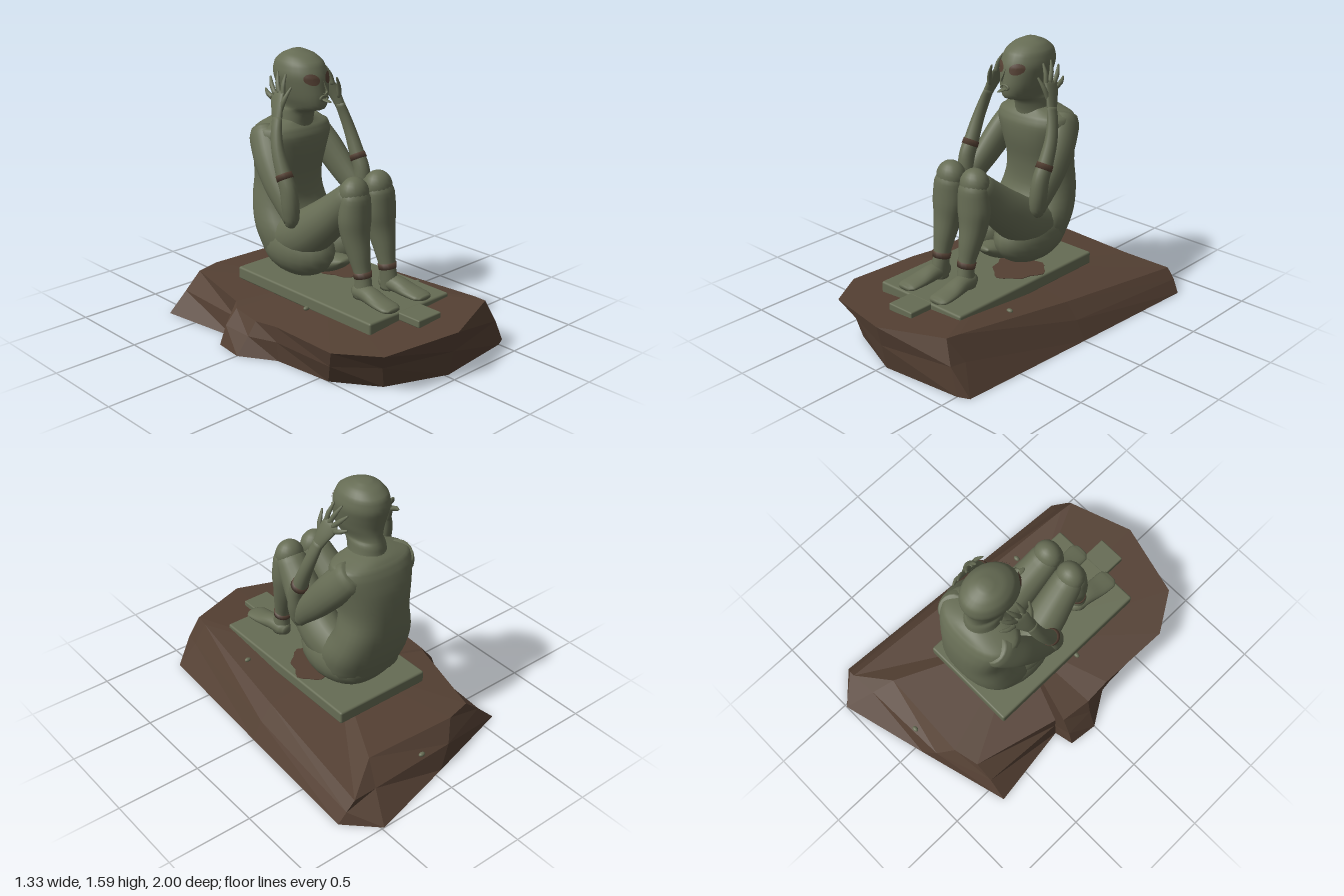
import * as THREE from 'three';
import { RoundedBoxGeometry } from 'three/addons/geometries/RoundedBoxGeometry.js';

const skin = new THREE.MeshStandardMaterial({ color: 0x666c54 });
skin.name = 'mossGreen';
const earth = new THREE.MeshStandardMaterial({ color: 0x544033 });
earth.name = 'earthBrown';

function add(parent, name, geometry, material, x = 0, y = 0, z = 0) {
  const mesh = new THREE.Mesh(geometry, material);
  mesh.name = name;
  mesh.position.set(x, y, z);
  parent.add(mesh);
  return mesh;
}

// Closed smooth skin through elliptical rings [x, y, z, sideRadius, depthRadius].
function loft(rings, { level = false, sides = 18, steps = 4, power = 1 } = {}) {
  const path = new THREE.CatmullRomCurve3(rings.map(r => new THREE.Vector3(r[0], r[1], r[2])));
  const size = new THREE.CatmullRomCurve3(rings.map(r => new THREE.Vector3(r[3], r[4], 0)));
  const n = (rings.length - 1) * steps, pos = [], idx = [];
  const curved = v => Math.sign(v) * Math.abs(v) ** power;
  for (let i = 0; i <= n; i++) {
    const c = path.getPoint(i / n), r = size.getPoint(i / n);
    const t = level ? new THREE.Vector3(0, 1, 0) : path.getTangent(i / n);
    const side = new THREE.Vector3(1, 0, 0).addScaledVector(t, -t.x).normalize();
    const up = new THREE.Vector3().crossVectors(t, side);
    for (let j = 0; j < sides; j++) {
      const a = j / sides * Math.PI * 2;
      const p = c.clone().addScaledVector(side, curved(Math.cos(a)) * r.x)
        .addScaledVector(up, curved(Math.sin(a)) * r.y);
      pos.push(p.x, p.y, p.z);
      if (i < n) {
        const k = i * sides + j, l = i * sides + (j + 1) % sides;
        idx.push(k, l, k + sides, l, l + sides, k + sides);
      }
    }
  }
  const first = rings[0], last = rings[rings.length - 1], base = (n + 1) * sides;
  pos.push(first[0], first[1], first[2], last[0], last[1], last[2]);
  for (let j = 0; j < sides; j++) {
    const k = (j + 1) % sides;
    idx.push(base, k, j, base + 1, n * sides + j, n * sides + k);
  }
  const g = new THREE.BufferGeometry();
  g.setAttribute('position', new THREE.Float32BufferAttribute(pos, 3));
  g.setIndex(idx);
  g.computeVertexNormals();
  return g;
}

function ball(rx, ry, rz) {
  return new THREE.SphereGeometry(1, 20, 14).scale(rx, ry, rz);
}

// Faceted rock: each entry is a top corner followed by its foot [x, z].
function rockGeometry() {
  const corners = [
    [.02, .27, 1, .02, .94], [.4, .29, .86, .5, .89], [.41, .285, .78, .565, .86],
    [.485, .2, 0, .615, 0], [.565, .13, -.85, .66, -.83], [.35, .21, -.71, .485, -1],
    [-.22, .21, -.74, -.05, -.86], [-.375, .21, -.705, -.6, -.71], [-.51, .22, -.19, -.53, -.2],
    [-.54, .2, -.15, -.645, -.175], [-.56, .19, .04, -.665, 0], [-.555, .21, .2, -.54, .2],
    [-.57, .22, .65, -.5, .56], [-.42, .235, .89, -.33, .8],
  ];
  const n = corners.length, pos = [], idx = [];
  corners.forEach(c => pos.push(c[3], 0, c[4]));
  corners.forEach((c, i) => {
    const s = 1 + .025 * Math.sin(i * 2.3);
    pos.push((c[0] + c[3]) / 2 * s, c[1] * .55, (c[2] + c[4]) / 2 * s);
  });
  corners.forEach(c => pos.push(c[0], c[1], c[2]));
  pos.push(0, 0, 0, 0, .26, 0);
  for (let j = 0; j < n; j++) {
    const k = (j + 1) % n;
    for (const o of [0, n]) idx.push(o + j, o + k, o + j + n, o + k, o + k + n, o + j + n);
    idx.push(3 * n, k, j, 3 * n + 1, 2 * n + j, 2 * n + k);
  }
  const g = new THREE.BufferGeometry();
  g.setAttribute('position', new THREE.Float32BufferAttribute(pos, 3));
  g.setIndex(idx);
  const flat = g.toNonIndexed();
  flat.computeVertexNormals();
  return flat;
}

// Head and neck rings: [height, front z, back z, half width]
const headRings = [
  [1.13, -.15, -.4, .12], [1.19, -.14, -.372, .1], [1.245, -.115, -.362, .092], [1.275, -.025, -.355, .088],
  [1.33, -.012, -.352, .109], [1.4, -.02, -.367, .127], [1.455, -.03, -.38, .136],
  [1.52, -.06, -.368, .122], [1.56, -.12, -.32, .088], [1.585, -.2, -.26, .035],
];

// Thin patch that follows the curve of the face.
function eyePatch(s) {
  const g = new THREE.RingGeometry(0, 1, 20, 4), p = g.attributes.position;
  for (let i = 0; i < p.count; i++) {
    const u = p.getX(i), v = p.getY(i);
    const x = s * .058 + u * .038, y = 1.446 + v * .031 + s * u * .004;
    const k = headRings.findIndex(r => r[0] > y), a = headRings[k - 1], b = headRings[k];
    const t = (y - a[0]) / (b[0] - a[0]);
    const [, front, back, w] = a.map((q, m) => q + (b[m] - q) * t);
    const z = (front + back) / 2 + (front - back) / 2 * Math.sqrt(1 - (x / w) ** 2);
    p.setXYZ(i, x, y, z + .007);
  }
  g.computeVertexNormals();
  return g;
}

function buildArm(s) {
  const arm = new THREE.Group();
  arm.name = s > 0 ? 'leftArm' : 'rightArm';
  const tube = (name, rings, mat = skin, opts) =>
    add(arm, name, loft(rings.map(r => [s * r[0], ...r.slice(1)]), opts), mat);
  tube('upperArm', [[.165, 1.135, -.34, .065, .075], [.182, 1.09, -.31, .076, .1], [.22, .99, -.23, .075, .098],
    [.248, .87, -.13, .066, .087], [.263, .76, -.03, .05, .07], [.268, .69, .01, .035, .045]]);
  tube('forearm', [[.268, .665, .0, .025, .03], [.27, .71, .015, .042, .045], [.277, .79, .015, .048, .052],
    [.281, .88, .002, .045, .05], [.281, .96, -.035, .042, .045], [.276, 1.08, -.085, .034, .038],
    [.257, 1.18, -.118, .027, .036], [.235, 1.25, -.135, .022, .035]]);
  tube('armBand', [[.281, .93, -.019, .047, .051], [.281, .96, -.035, .045, .049]], earth, { steps: 1 });
  tube('palm', [[.24, 1.23, -.13, .021, .034], [.218, 1.3, -.155, .018, .047], [.192, 1.36, -.18, .014, .056],
    [.184, 1.38, -.185, .008, .048]]);
  // Four fingers and a thumb fanned beside the head
  const fingers = [
    [.22, 1.29, -.125, .172, 1.415, -.09], [.188, 1.365, -.14, .148, 1.475, -.16],
    [.188, 1.37, -.17, .148, 1.48, -.225], [.19, 1.36, -.2, .155, 1.445, -.28],
    [.195, 1.34, -.22, .175, 1.375, -.3],
  ];
  for (const [x, y, z, u, v, w] of fingers) {
    tube('finger', [[x, y, z, .013, .015], [(x + u) / 2 + .008, (y + v) / 2, (z + w) / 2, .012, .014],
      [u, v, w, .005, .006]], skin, { sides: 8 });
  }
  return arm;
}

function buildLeg(s) {
  const leg = new THREE.Group();
  leg.name = s > 0 ? 'leftLeg' : 'rightLeg';
  const tube = (name, rings, mat = skin, opts) =>
    add(leg, name, loft(rings.map(r => [s * r[0], ...r.slice(1)]), opts), mat);
  tube('thigh', [[.13, .49, -.24, .1, .12], [.13, .56, -.05, .122, .14], [.118, .67, .1, .115, .125],
    [.102, .78, .22, .101, .105], [.092, .87, .305, .09, .088], [.09, .925, .34, .06, .055]]);
  add(leg, 'knee', ball(.086, .09, .078), skin, s * .09, .895, .323);
  tube('shin', [[.09, .93, .335, .06, .05], [.092, .87, .335, .09, .077], [.096, .76, .335, .099, .083],
    [.099, .66, .345, .083, .077], [.098, .55, .375, .063, .062], [.096, .44, .402, .046, .047],
    [.1, .37, .41, .047, .055], [.105, .315, .41, .05, .055]]);
  tube('ankleBand', [[.096, .43, .404, .05, .051], [.0965, .462, .397, .053, .053]], earth, { steps: 1 });
  tube('foot', [[.105, .345, .345, .025, .025], [.105, .347, .38, .048, .045], [.11, .35, .46, .054, .047],
    [.118, .335, .56, .064, .032], [.122, .328, .64, .064, .021], [.122, .326, .67, .04, .012]]);
  add(leg, 'buttock', ball(.158, .165, .26), skin, s * .1, .468, -.12);
  return leg;
}

export function createModel() {
  const model = new THREE.Group();
  model.name = 'seatedFigure';

  // Rock, slab and small stones
  add(model, 'rock', rockGeometry(), earth);
  add(model, 'slab', new RoundedBoxGeometry(.615, .075, 1.09, 2, .012), skin, .0025, .267, .125);
  add(model, 'slabTongue', new RoundedBoxGeometry(.175, .045, .24, 2, .008), skin, .002, .281, .695);
  for (const [x, y, z] of [[.055, .14, -.81], [-.315, .24, .185], [.385, .25, .365]]) {
    add(model, 'pebble', ball(.02, .012, .014), skin, x, y, z);
  }

  // Earth stain lying on the slab
  const stain = new THREE.Shape(Array.from({ length: 28 }, (_, i) => {
    const a = i / 28 * Math.PI * 2, r = 1 + .1 * Math.sin(3 * a) + .07 * Math.sin(7 * a);
    return new THREE.Vector2(.145 * r * Math.cos(a), .15 * r * Math.sin(a));
  }));
  const stainGeo = new THREE.ExtrudeGeometry(stain, { depth: .005, bevelEnabled: false }).rotateX(-Math.PI / 2);
  add(model, 'earthStain', stainGeo, earth, .14, .303, .03);

  // Torso rings: [height, front z, back z, half width]
  const stack = rings => rings.map(([y, f, b, w]) => [0, y, (f + b) / 2, w, (f - b) / 2]);
  add(model, 'torso', loft(stack([
    [.3, -.1, -.26, .1], [.34, -.02, -.32, .18], [.43, .0, -.385, .235], [.55, -.05, -.435, .253],
    [.7, -.15, -.472, .23], [.85, -.155, -.482, .2], [1, -.125, -.475, .222], [1.1, -.12, -.45, .245],
    [1.15, -.14, -.425, .232], [1.18, -.165, -.395, .15], [1.2, -.17, -.36, .08],
  ]), { level: true, sides: 28, power: .85 }), skin);
  add(model, 'lap', loft([[0, .39, -.05, .12, .09], [0, .4, .06, .09, .06], [0, .42, .14, .065, .035],
    [0, .438, .185, .05, .012]]), skin);

  // Head and face
  const head = new THREE.Group();
  head.name = 'head';
  model.add(head);
  add(head, 'skullAndNeck', loft(stack(headRings), { level: true, sides: 28 }), skin);
  add(head, 'nose', loft([[0, 1.45, -.04, .01, .012], [0, 1.41, -.022, .014, .018], [0, 1.378, -.012, .022, .02],
    [0, 1.366, -.015, .014, .012]], { level: true, sides: 10 }), skin);
  const lips = add(head, 'lips', new THREE.TorusGeometry(.021, .007, 8, 20), skin, 0, 1.341, -.011);
  lips.scale.set(1.2, .7, 1);
  const tongue = add(head, 'tongue', ball(.016, .006, .045), skin, 0, 1.331, .003);
  tongue.rotation.x = .1;

  for (const s of [-1, 1]) {
    add(head, s > 0 ? 'leftEye' : 'rightEye', eyePatch(s), earth);
    model.add(buildArm(s), buildLeg(s));
  }
  return model;
}
